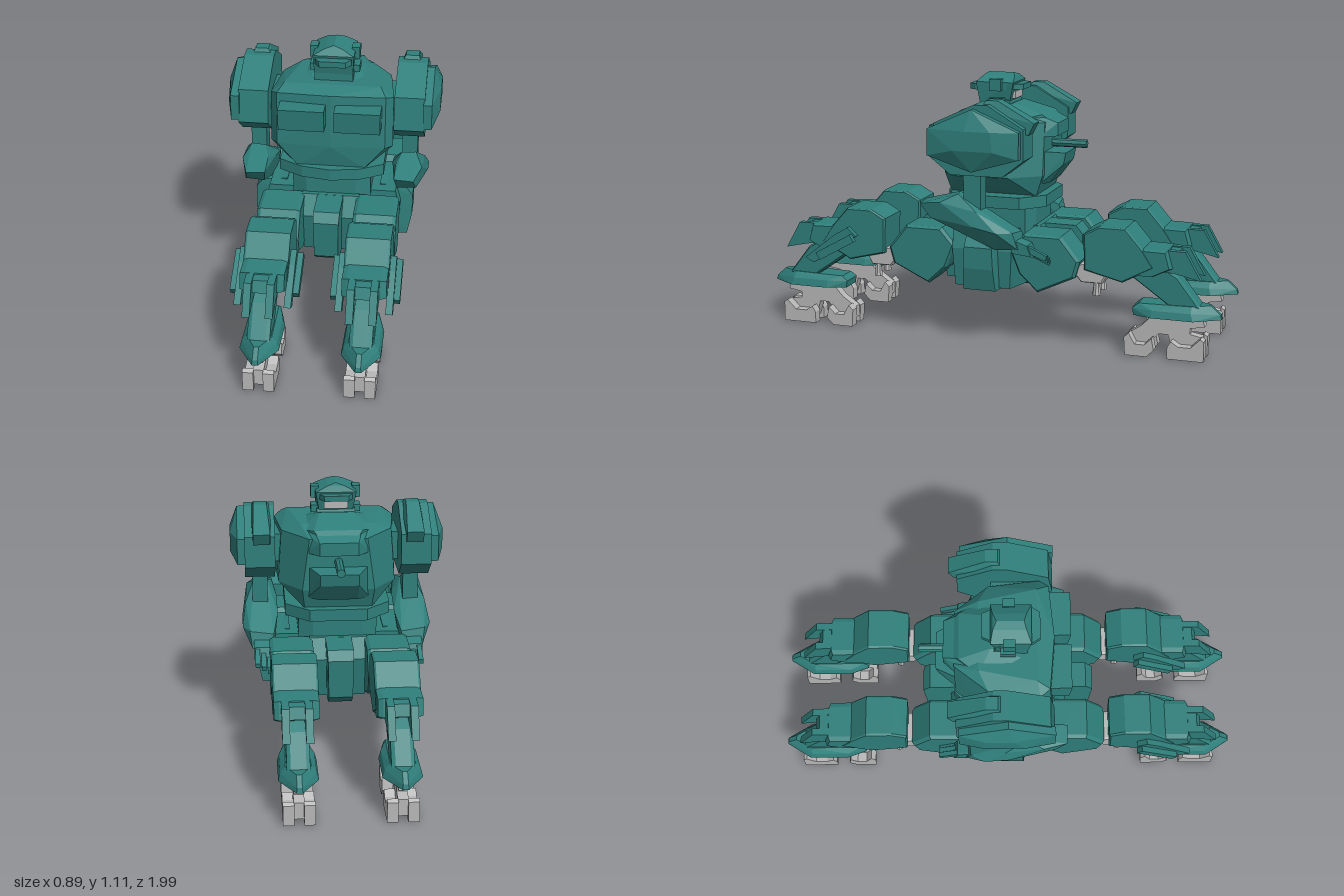
import * as THREE from 'three';
import { ConvexGeometry } from 'three/addons/geometries/ConvexGeometry.js';

const teal = new THREE.MeshStandardMaterial({ color: 0x2f7f7b });
teal.name = 'teal armour';
const grey = new THREE.MeshStandardMaterial({ color: 0xb8b8b8 });
grey.name = 'grey metal';

function part(parent, name, geometry, material = teal) {
  const mesh = new THREE.Mesh(geometry, material);
  mesh.name = name;
  parent.add(mesh);
  return mesh;
}

// Box given by its lower and upper limits on each axis
function box(x0, x1, y0, y1, z0, z1) {
  const g = new THREE.BoxGeometry(Math.abs(x1 - x0), y1 - y0, Math.abs(z1 - z0));
  return g.translate((x0 + x1) / 2, (y0 + y1) / 2, (z0 + z1) / 2);
}

// Faceted solid around a list of corners
const hull = (pts) => new ConvexGeometry(pts.map((p) => new THREE.Vector3(...p)));

// Faceted solid, mirrored on x from corners of one half
const hullX = (pts) => hull(pts.flatMap(([x, y, z]) => [[x, y, z], [-x, y, z]]));

// Side profile of [z, y] points, extruded along x around xc
function plate(profile, xc, half, sz = 1) {
  const shape = new THREE.Shape(profile.map(([z, y]) => new THREE.Vector2(-z * sz, y)));
  const g = new THREE.ExtrudeGeometry(shape, { depth: 2 * half, bevelEnabled: false });
  return g.rotateY(Math.PI / 2).translate(xc - half, 0, 0);
}

// Convex side profile, narrowed on both outer faces
function chamfered(profile, xc, half, sz = 1, edge = 0.03, shrink = 0.8) {
  const n = profile.length;
  const cz = profile.reduce((s, p) => s + p[0], 0) / n;
  const cy = profile.reduce((s, p) => s + p[1], 0) / n;
  const pts = [];
  for (const [z, y] of profile) for (const s of [-1, 1]) {
    pts.push([xc + s * (half - edge), y, z * sz]);
    pts.push([xc + s * half, cy + (y - cy) * shrink, (cz + (z - cz) * shrink) * sz]);
  }
  return hull(pts);
}

// Flat-faceted tapered cylinder
function rod(r0, r1, length) {
  const g = new THREE.CylinderGeometry(r0, r1, length, 8).toNonIndexed();
  g.computeVertexNormals();
  return g;
}

function buildHead(root) {
  const head = new THREE.Group();
  head.name = 'head';
  root.add(head);
  part(head, 'neck', hullX([[0.08, 0.93, 0.08], [0.08, 0.93, -0.08], [0.08, 1.0, 0.08], [0.08, 1.0, -0.05]]));
  part(head, 'skull', hullX([[0.08, 0.99, 0.08], [0.07, 0.99, -0.05], [0.085, 1.075, 0.095], [0.085, 1.075, -0.07],
    [0.035, 1.1, 0.075], [0, 1.11, 0.065], [0, 1.11, -0.045], [0.035, 1.1, -0.06]]));
  part(head, 'rearBrim', hullX([1.04, 1.065].flatMap((y) => [[0.08, y, 0.04], [0.075, y, 0.1], [0.055, y, 0.13]])));
  part(head, 'visorBrim', hullX([1.045, 1.068].flatMap((y) => [[0.085, y, -0.03], [0.05, y, -0.105]])));
  part(head, 'visor', box(-0.05, 0.05, 1.005, 1.035, -0.068, -0.05), grey);
  for (const s of [1, -1]) {
    part(head, 'earPost', box(s * 0.07, s * 0.104, 1.04, 1.09, -0.02, 0.03));
    part(head, 'cheekPost', box(s * 0.07, s * 0.104, 0.98, 1.01, -0.03, 0.03));
  }
}

function buildTorso(root) {
  const torso = new THREE.Group();
  torso.name = 'torso';
  root.add(torso);
  part(torso, 'torsoShell', hullX([
    [0.2, 0.96, 0.12], [0.15, 0.955, -0.12], [0.225, 0.935, 0.17], [0.255, 0.92, 0.13], [0.23, 0.92, -0.08],
    [0, 0.94, 0.19], [0, 0.71, 0.2], [0.225, 0.71, 0.185], [0.255, 0.7, 0.14], [0.245, 0.7, -0.1],
    [0.12, 0.92, -0.22], [0.15, 0.7, -0.22], [0.14, 0.61, 0.185], [0.14, 0.61, -0.19]]));
  part(torso, 'collar', hullX([[0.15, 0.94, 0.06], [0.1, 0.957, 0.06], [0.07, 0.99, -0.07], [0.1, 0.95, -0.2],
    [0.16, 0.93, -0.12], [0.06, 0.9, -0.26]]));
  part(torso, 'chestPlate', hullX([[0.1, 0.95, -0.18], [0.08, 0.915, -0.265], [0.08, 0.86, -0.265], [0.14, 0.86, -0.2],
    [0.14, 0.93, -0.16]]));
  part(torso, 'chestProw', hullX([[0.13, 0.8, -0.2], [0.08, 0.79, -0.3], [0.08, 0.74, -0.29], [0.13, 0.66, -0.2],
    [0.08, 0.66, -0.23]]));
  part(torso, 'gunBarrel', rod(0.018, 0.018, 0.17).rotateX(Math.PI / 2).translate(0, 0.82, -0.285));
  for (const s of [1, -1]) {
    part(torso, 'rearVent', hull([0.02, 0.21].flatMap((x) => [[s * x, 0.9, 0.15], [s * x, 0.9, 0.26],
      [s * x, 0.805, 0.25], [s * x, 0.805, 0.15]])));
  }
  // Waist ring and turntable
  part(torso, 'waistBand', hullX([0.565, 0.615].flatMap((y) => [[0.22, y, 0.15], [0, y, 0.225], [0.12, y, 0.205],
    [0.22, y, -0.14], [0.12, y, -0.23]])));
  part(torso, 'waistBlock', hullX([0.45, 0.57].flatMap((y) => [[0.165, y, 0.15], [0.105, y, 0.18], [0.165, y, -0.15],
    [0.105, y, -0.18]])));
}

function buildChassis(root) {
  const chassis = new THREE.Group();
  chassis.name = 'chassis';
  root.add(chassis);
  part(chassis, 'chassisCore', hullX([1, -1].flatMap((s) => [[0.12, 0.48, s * 0.2], [0.12, 0.4, s * 0.25],
    [0.11, 0.225, s * 0.22], [0.1, 0.22, s * 0.1]])));
  part(chassis, 'crossBeam', hullX([1, -1].flatMap((s) => [[0.27, 0.475, s * 0.13], [0.29, 0.4, s * 0.13],
    [0.28, 0.24, s * 0.12], [0.1, 0.225, s * 0.14]])));
  for (const s of [1, -1]) {
    part(chassis, 'endBlock', hullX([[0.055, 0.48, s * 0.15], [0.055, 0.478, s * 0.34], [0.053, 0.44, s * 0.37],
      [0.05, 0.275, s * 0.36], [0.05, 0.225, s * 0.22], [0.05, 0.23, s * 0.3]]));
    part(chassis, 'sideHub', hull([1, -1].flatMap((t) => [[0.2, 0.48, 0.08], [0.31, 0.46, 0.06], [0.34, 0.42, 0.06],
      [0.34, 0.33, 0.065], [0.32, 0.235, 0.07], [0.2, 0.23, 0.08]].map(([x, y, z]) => [s * x, y, t * z]))));
  }
}

function buildArm(root, s) {
  const arm = new THREE.Group();
  arm.name = s > 0 ? 'leftArm' : 'rightArm';
  root.add(arm);
  const shull = (pts) => hull(pts.map(([x, y, z]) => [s * x, y, z]));
  // Shoulder pod with a faceted outer cap
  const rim = [[0, 1.02], [0.17, 0.94], [0.19, 0.8], [0.1, 0.73], [-0.12, 0.73], [-0.21, 0.8], [-0.21, 0.93], [-0.06, 1.02]];
  part(arm, 'shoulderPod', shull(rim.flatMap(([z, y]) => [[0.26, y, z], [0.385, y, z]])));
  part(arm, 'shoulderCap', shull([[0, 1.005], [0.19, 0.92], [0.19, 0.81], [0, 0.75], [-0.2, 0.81], [-0.2, 0.92]]
    .flatMap(([z, y]) => [[0.38, y, z], [0.415, y, z]])
    .concat([[0.445, 0.92, 0.02], [0.445, 0.84, 0.07], [0.445, 0.84, -0.1], [0.445, 0.92, -0.09]])));
  part(arm, 'shoulderRidge', shull([[0.27, 1.0, -0.02], [0.36, 1.0, -0.02], [0.29, 1.035, -0.04], [0.345, 1.035, -0.04],
    [0.29, 1.035, -0.09], [0.345, 1.035, -0.09], [0.28, 0.95, -0.245], [0.35, 0.95, -0.245], [0.28, 0.9, -0.22], [0.35, 0.9, -0.22]]));
  part(arm, 'shoulderBridge', box(s * 0.2, s * 0.28, 0.78, 0.9, -0.07, 0.1));
  part(arm, 'upperArm', box(s * 0.29, s * 0.355, 0.56, 0.75, -0.02, 0.055));
  // Slanted forearm, leaning outward, and hand
  part(arm, 'forearm', shull([
    [0.27, 0.6, 0.25], [0.35, 0.595, 0.25], [0.27, 0.62, 0.16], [0.38, 0.61, 0.15], [0.29, 0.645, 0.09], [0.35, 0.645, 0.08],
    [0.25, 0.58, 0.06], [0.385, 0.58, -0.01], [0.4, 0.52, 0], [0.4, 0.5, -0.1], [0.25, 0.54, -0.06], [0.27, 0.49, -0.17],
    [0.37, 0.5, -0.16], [0.27, 0.43, -0.185], [0.36, 0.43, -0.18], [0.27, 0.42, -0.08], [0.35, 0.42, -0.08],
    [0.28, 0.54, 0.21], [0.36, 0.54, 0.2]]));
  part(arm, 'hand', chamfered([[-0.13, 0.48], [-0.22, 0.45], [-0.24, 0.4], [-0.15, 0.41]], s * 0.315, 0.04, 1, 0.01, 0.9));
  for (let i = 0; i < 3; i++) {
    part(arm, 'finger', plate([[-0.21, 0.45 - i * 0.012], [-0.3, 0.41 - i * 0.015], [-0.295, 0.39 - i * 0.015],
      [-0.21, 0.42 - i * 0.012]], s * (0.34 - i * 0.025), 0.01));
  }
}

function buildLeg(root, sx, sz) {
  const leg = new THREE.Group();
  leg.name = (sz > 0 ? 'front' : 'rear') + (sx > 0 ? 'LeftLeg' : 'RightLeg');
  root.add(leg);
  const x = sx * 0.2;
  // Hip and knee joint
  part(leg, 'hip', chamfered([[0.42, 0.38], [0.34, 0.48], [0.18, 0.48], [0.12, 0.41], [0.16, 0.31], [0.24, 0.235],
    [0.4, 0.31]], x, 0.09, sz, 0.015, 0.92));
  part(leg, 'kneeJoint', chamfered([[0.54, 0.35], [0.51, 0.29], [0.42, 0.29], [0.38, 0.34], [0.42, 0.37], [0.5, 0.37]],
    x, 0.065, sz, 0.01, 0.9), grey);
  for (const t of [1, -1]) {
    part(leg, 'kneePeg', rod(0.012, 0.018, 0.06).translate(x + t * 0.048, 0.27, sz * 0.485), grey);
  }
  // Thigh and forked shin guard
  part(leg, 'thigh', chamfered([[0.44, 0.35], [0.435, 0.5], [0.5, 0.535], [0.61, 0.535], [0.68, 0.455], [0.73, 0.38],
    [0.6, 0.31]], x, 0.09, sz, 0.008, 0.95));
  part(leg, 'shinGuard', chamfered([[0.62, 0.455], [0.78, 0.452], [0.8, 0.38], [0.72, 0.34], [0.62, 0.34]], x, 0.088, sz, 0.02, 0.9));
  for (const t of [1, -1]) {
    part(leg, 'guardProng', plate([[0.74, 0.452], [0.85, 0.45], [0.915, 0.335], [0.85, 0.35], [0.8, 0.36], [0.74, 0.36]],
      x + t * 0.045, 0.015, sz));
    if (sz > 0) { // Armour strips on the front legs only
      part(leg, 'sideArmour', plate([[0.56, 0.42], [0.6, 0.455], [0.66, 0.42], [0.8, 0.31], [0.76, 0.29]], x + t * 0.1, 0.014));
      part(leg, 'sideRail', plate([[0.56, 0.4], [0.58, 0.43], [0.74, 0.34], [0.72, 0.31]], x + t * 0.126, 0.012));
    }
  }
  part(leg, 'guardBridge', plate([[0.74, 0.45], [0.82, 0.445], [0.84, 0.4], [0.74, 0.36]], x, 0.035, sz));
  part(leg, 'shin', chamfered([[0.62, 0.33], [0.72, 0.4], [0.82, 0.34], [0.92, 0.21], [0.79, 0.21]], x, 0.045, sz, 0.015, 0.88));
  // Pointed ankle skirt
  part(leg, 'ankleSkirt', hull([[0.05, 0.17, 0.64], [0.078, 0.17, 0.72], [0.078, 0.17, 0.89], [0.012, 0.17, 0.995],
    [0.05, 0.2, 0.635], [0.07, 0.2, 0.72], [0.07, 0.2, 0.88], [0.01, 0.19, 0.99], [0.045, 0.22, 0.66],
    [0.05, 0.225, 0.88], [0.01, 0.225, 0.95]].flatMap(([a, y, z]) => [[x + a, y, sz * z], [x - a, y, sz * z]])));
  // Arched foot with paired toe and heel slabs
  part(leg, 'footArch', plate([[0.93, 0.135], [0.92, 0.17], [0.72, 0.175], [0.67, 0.12], [0.61, 0.08], [0.61, 0.03],
    [0.69, 0.03], [0.74, 0.09], [0.78, 0.09], [0.8, 0.02], [0.92, 0.02], [0.92, 0.09], [0.87, 0.1], [0.87, 0.125]],
  x, 0.021, sz), grey);
  for (const t of [1, -1]) {
    part(leg, 'toe', plate([[0.935, 0], [0.935, 0.085], [0.92, 0.095], [0.88, 0.055], [0.83, 0.055], [0.8, 0.075],
      [0.785, 0.05], [0.785, 0]], x + t * 0.041, 0.022, sz), grey);
    part(leg, 'heel', plate([[0.61, 0], [0.605, 0.075], [0.625, 0.095], [0.65, 0.05], [0.69, 0.05], [0.72, 0.08],
      [0.73, 0.03], [0.7, 0]], x + t * 0.041, 0.022, sz), grey);
  }
}

export function createModel() {
  const root = new THREE.Group();
  root.name = 'walkerRobot';
  buildHead(root);
  buildTorso(root);
  buildChassis(root);
  for (const sx of [1, -1]) {
    buildArm(root, sx);
    for (const sz of [1, -1]) buildLeg(root, sx, sz);
  }
  return root;
}
